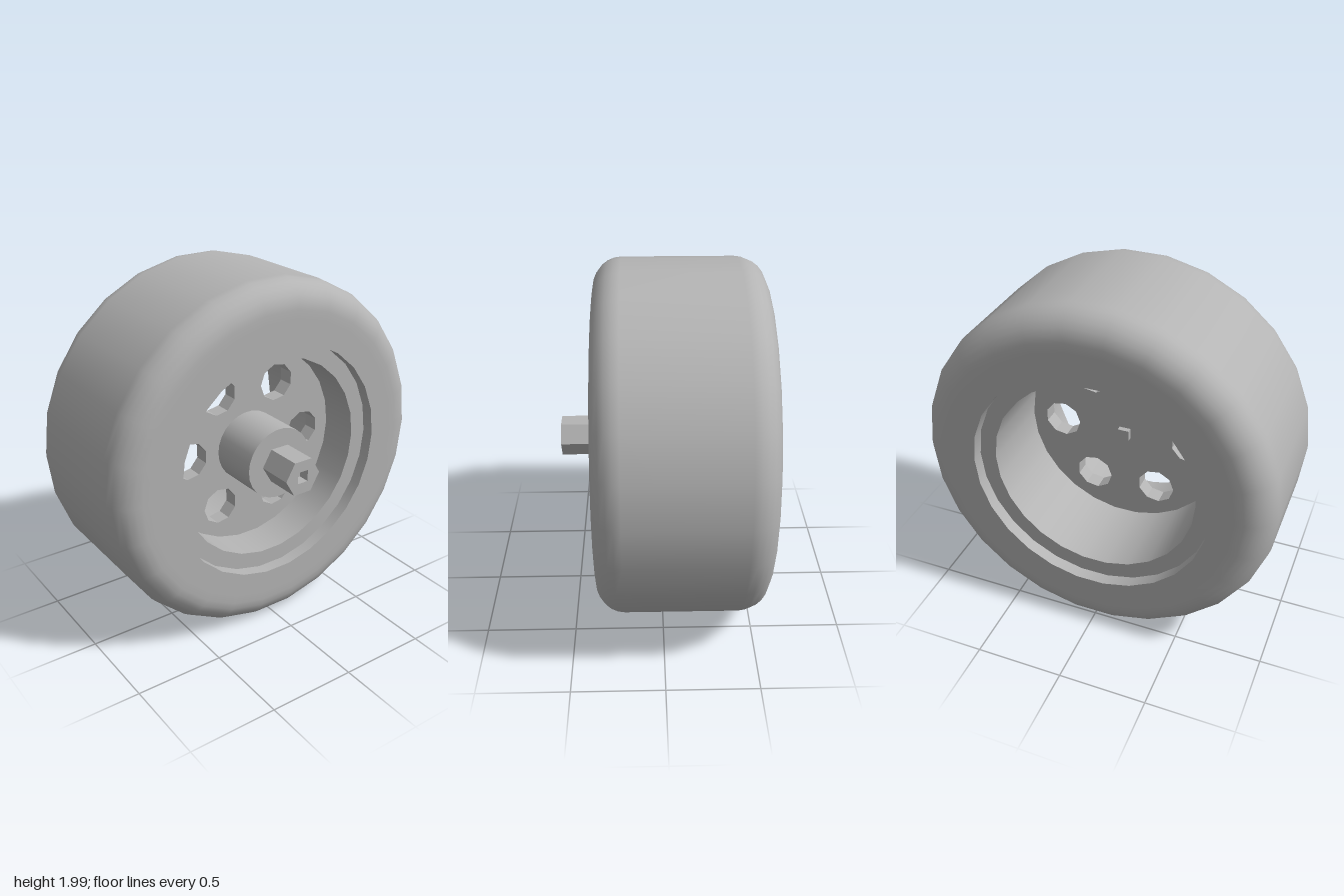
import * as THREE from 'three';

const SIDES = 26;
const FRONT = 0.365, BACK = -0.563;      // tyre faces
const DISC_FRONT = 0.07, DISC_BACK = -0.02;
const STEP = 0.07;                       // depth of the rim ledge

// Revolve an (r, z) profile around the axle
function revolve(points) {
  const g = new THREE.LatheGeometry(points.map(([r, z]) => new THREE.Vector2(r, z)), SIDES, Math.PI / 2);
  return g.rotateX(Math.PI / 2);
}

// Regular polygon as a list of points
function polygon(r, n, start = 0, cx = 0, cy = 0) {
  return Array.from({ length: n }, (_, i) => {
    const a = start + (i / n) * Math.PI * 2;
    return new THREE.Vector2(cx + r * Math.cos(a), cy + r * Math.sin(a));
  });
}

// Extrude an outline with holes between two z positions
function slab(outline, holes, z0, z1) {
  const shape = new THREE.Shape(outline);
  holes.forEach(h => shape.holes.push(new THREE.Path(h)));
  return new THREE.ExtrudeGeometry(shape, { depth: z1 - z0, bevelEnabled: false }).translate(0, 0, z0);
}

export function createModel() {
  const grey = new THREE.MeshStandardMaterial({ color: 0xb4b4b4 });
  grey.name = 'grey';
  const wheel = new THREE.Group();
  wheel.name = 'wheel';
  const add = (name, geometry, parent = wheel) => {
    const m = new THREE.Mesh(geometry, grey);
    m.name = name;
    parent.add(m);
    return m;
  };

  // Tyre: flat tread and sidewalls with rounded shoulders
  const profile = [[0.67, BACK], [0.8, BACK]];
  const R = 0.15, ARC = 6;
  for (let i = 0; i <= ARC; i++) {
    const a = -Math.PI / 2 + (i / ARC) * Math.PI / 2;
    profile.push([1 - R + R * Math.cos(a), BACK + R + R * Math.sin(a)]);
  }
  for (let i = 0; i <= ARC; i++) {
    const a = (i / ARC) * Math.PI / 2;
    profile.push([1 - R + R * Math.cos(a), FRONT - R + R * Math.sin(a)]);
  }
  profile.push([0.8, FRONT], [0.67, FRONT]);
  add('tyre', revolve(profile));

  // Rim: stepped bore, one strip per face so the edges stay sharp
  const rim = new THREE.Group();
  rim.name = 'rim';
  wheel.add(rim);
  const bore = [[0.67, FRONT], [0.67, FRONT - STEP], [0.575, FRONT - STEP],
    [0.575, BACK + STEP], [0.67, BACK + STEP], [0.67, BACK]];
  const strips = ['frontLip', 'frontLedge', 'barrel', 'backLedge', 'backLip'];
  strips.forEach((name, i) => add(name, revolve([bore[i], bore[i + 1]]), rim));

  // Wheel disc with six round openings
  const holes = Array.from({ length: 6 }, (_, i) => {
    const a = (i / 6) * Math.PI * 2;
    return polygon(0.108, 9, Math.PI, 0.387 * Math.cos(a), 0.387 * Math.sin(a));
  });
  add('disc', slab(polygon(0.575, SIDES), holes, DISC_BACK, DISC_FRONT));

  // Hub
  const hub = new THREE.CylinderGeometry(0.203, 0.203, FRONT - 0.005 - DISC_FRONT, SIDES, 1, false, Math.PI / 2);
  add('hub', hub.rotateX(Math.PI / 2).translate(0, 0, (FRONT - 0.005 + DISC_FRONT) / 2));

  // Hexagonal axle end with a square socket, and its pin at the back
  const square = polygon(0.046, 4, Math.PI / 4);
  add('hexAxle', slab(polygon(0.11, 6), [square], FRONT - 0.005, 0.563));
  add('socketFloor', slab(square, [], FRONT - 0.005, 0.5));
  add('axlePin', slab(square, [], DISC_BACK - 0.03, DISC_BACK));

  wheel.position.y = 1;
  const model = new THREE.Group();
  model.name = 'wheelModel';
  model.add(wheel);
  return model;
}
